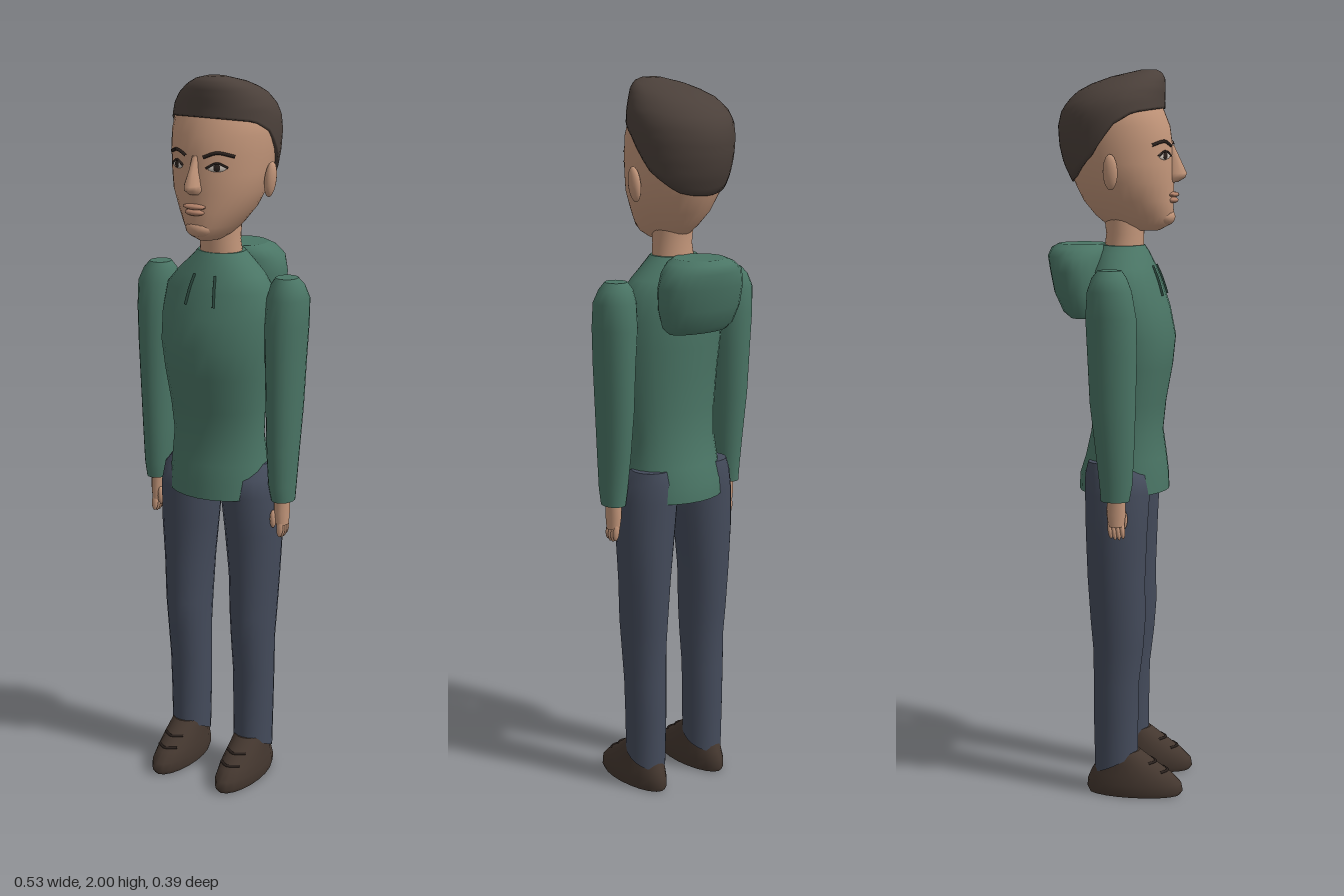
import * as THREE from 'three';

const mat = (name, color, side = THREE.FrontSide) => {
  const m = new THREE.MeshStandardMaterial({ color, side });
  m.name = name;
  return m;
};

// Closed skin over rings of points, listed from bottom to top
function skin(rings) {
  const n = rings[0].length, pos = [], idx = [];
  rings.forEach(r => r.forEach(p => pos.push(p.x, p.y, p.z)));
  for (let i = 0; i < rings.length - 1; i++) {
    for (let j = 0; j < n; j++) {
      const k = (j + 1) % n, a = i * n + j, b = i * n + k;
      idx.push(a, b, b + n, a, b + n, a + n);
    }
  }
  // Flat end caps with their own vertices
  for (const [ring, top] of [[rings[0], false], [rings[rings.length - 1], true]]) {
    const base = pos.length / 3, c = new THREE.Vector3();
    ring.forEach(p => { c.add(p); pos.push(p.x, p.y, p.z); });
    c.divideScalar(n);
    pos.push(c.x, c.y, c.z);
    for (let j = 0; j < n; j++) {
      const k = (j + 1) % n;
      idx.push(base + n, base + (top ? j : k), base + (top ? k : j));
    }
  }
  const g = new THREE.BufferGeometry();
  g.setAttribute('position', new THREE.Float32BufferAttribute(pos, 3));
  g.setIndex(idx);
  g.computeVertexNormals();
  return g;
}

// Point on an oval: centre x, half width, front z, back z, tilt of the front
function oval([y, cx, rx, zf, zb, tilt = 0], a) {
  const c = Math.cos(a);
  return new THREE.Vector3(cx + rx * Math.sin(a), y + tilt * c, (zf + zb) / 2 + (zf - zb) / 2 * c);
}
const angles = n => Array.from({ length: n }, (_, j) => j / n * Math.PI * 2);
const loft = (sections, n = 24) => skin(sections.map(s => angles(n).map(a => oval(s, a))));

// Linear lookup in rows sorted by their first entry
function lookup(rows, v) {
  let i = 0;
  while (i < rows.length - 2 && v > rows[i + 1][0]) i++;
  const t = THREE.MathUtils.clamp((v - rows[i][0]) / (rows[i + 1][0] - rows[i][0]), 0, 1);
  return rows[i].map((e, k) => e + (rows[i + 1][k] - e) * t);
}

export function createModel() {
  const model = new THREE.Group();
  const green = mat('green knit', 0x4a7565), navy = mat('navy cloth', 0x444b5b);
  const skinTone = mat('skin', 0xc3967a), hairBrown = mat('hair brown', 0x4b403a, THREE.DoubleSide);
  const leather = mat('brown leather', 0x44372f), dark = mat('dark brown', 0x2a211d);
  const white = mat('eye white', 0xd2c8be), cord = mat('dark green', 0x2b473d), lip = mat('lips', 0xb08068);

  const add = (name, geo, material, parent = model) => {
    const m = new THREE.Mesh(geo, material);
    m.name = name;
    parent.add(m);
    return m;
  };
  const ball = (name, material, p, r, parent) => {
    const m = add(name, new THREE.SphereGeometry(1, 16, 10), material, parent);
    m.position.set(...p);
    m.scale.set(...r);
    return m;
  };
  const cordTube = (name, pts, r, material, parent) => add(name, new THREE.TubeGeometry(
    new THREE.CatmullRomCurve3(pts.map(p => new THREE.Vector3(...p))), 10, r, 6), material, parent);

  // Sweater body and hood hanging at the back
  add('torso', loft([
    [0.855, 0, 0.150, 0.140, -0.110], [0.90, 0, 0.147, 0.138, -0.108], [0.95, 0, 0.140, 0.132, -0.092],
    [1.02, 0, 0.134, 0.122, -0.076], [1.10, 0, 0.140, 0.130, -0.072], [1.20, 0, 0.153, 0.148, -0.076],
    [1.28, 0, 0.163, 0.156, -0.083], [1.36, 0, 0.167, 0.140, -0.087], [1.43, 0, 0.160, 0.117, -0.085],
    [1.47, 0, 0.128, 0.102, -0.080], [1.51, 0, 0.085, 0.083, -0.065], [1.53, 0, 0.067, 0.070, -0.050]]), green);
  add('hood', loft([
    [1.333, 0, 0.095, -0.05, -0.135], [1.35, 0, 0.113, -0.03, -0.155], [1.40, 0, 0.128, -0.02, -0.178],
    [1.46, 0, 0.132, -0.02, -0.190], [1.50, 0, 0.120, -0.02, -0.197], [1.522, 0, 0.095, -0.02, -0.188],
    [1.533, 0, 0.070, -0.03, -0.168]]), green);

  // Head and neck
  add('neck', loft([[1.49, 0, 0.064, 0.066, -0.045], [1.56, 0, 0.056, 0.068, -0.036], [1.64, 0, 0.058, 0.07, -0.045]]), skinTone);
  add('head', loft([
    [1.570, 0, 0.028, 0.110, -0.005], [1.585, 0, 0.050, 0.138, -0.035], [1.61, 0, 0.070, 0.150, -0.065],
    [1.65, 0, 0.098, 0.148, -0.098], [1.70, 0, 0.122, 0.150, -0.122], [1.75, 0, 0.132, 0.148, -0.142],
    [1.80, 0, 0.138, 0.145, -0.155], [1.85, 0, 0.141, 0.138, -0.158], [1.90, 0, 0.136, 0.118, -0.146],
    [1.935, 0, 0.100, 0.100, -0.100], [1.955, 0, 0.050, 0.060, -0.040]], 32), skinTone);
  add('nose', loft([
    [1.70, 0, 0.016, 0.160, 0.12], [1.712, 0, 0.024, 0.180, 0.12], [1.724, 0, 0.021, 0.185, 0.12],
    [1.76, 0, 0.013, 0.168, 0.12], [1.80, 0, 0.010, 0.149, 0.12]], 12), skinTone);
  ball('upperLip', lip, [0, 1.667, 0.146], [0.034, 0.008, 0.018]);
  ball('lowerLip', lip, [0, 1.652, 0.145], [0.029, 0.009, 0.017]);
  ball('chin', skinTone, [0, 1.607, 0.125], [0.038, 0.025, 0.029]);

  // Hair: rows run from a hairline that drops towards the nape up to the crown
  const crown = [
    [1.70, 0, 0.127, 0.125, -0.128], [1.75, 0, 0.139, 0.135, -0.152], [1.80, 0, 0.145, 0.135, -0.164],
    [1.85, 0, 0.148, 0.134, -0.167], [1.89, 0, 0.146, 0.124, -0.158], [1.92, 0.002, 0.138, 0.123, -0.138],
    [1.95, 0.006, 0.118, 0.124, -0.105], [1.975, 0.014, 0.090, 0.122, -0.050], [1.992, 0.02, 0.058, 0.114, 0.015],
    [2.00, 0.024, 0.028, 0.098, 0.055]];
  const hairline = [[-1, 1.70], [-0.8, 1.712], [-0.3, 1.77], [0.15, 1.855], [0.5, 1.885], [1, 1.897]];
  const hairRows = [];
  for (let i = 0; i <= 16; i++) {
    hairRows.push(angles(40).map(a => {
      const y0 = lookup(hairline, Math.cos(a))[1];
      return oval(lookup(crown, y0 + (2 - y0) * i / 16), a);
    }));
  }
  // Leave the underside to the head by closing it just inside the skull
  hairRows.unshift(hairRows[0].map(p => new THREE.Vector3(p.x * 0.9, p.y + 0.01, p.z * 0.9)));
  add('hair', skin(hairRows), hairBrown);

  const faceZ = x => 0.147 * Math.sqrt(1 - (x / 0.135) ** 2);
  for (const s of [1, -1]) {
    const side = new THREE.Group();
    side.name = s > 0 ? 'leftSide' : 'rightSide';
    model.add(side);

    // Eye, brow and ear
    const eye = new THREE.Group();
    eye.name = 'eye';
    eye.position.set(s * 0.06, 1.772, faceZ(0.06));
    eye.rotation.y = s * 0.5;
    side.add(eye);
    ball('eyeWhite', white, [0, 0, 0], [0.026, 0.011, 0.004], eye);
    ball('iris', dark, [0, 0, 0.002], [0.010, 0.010, 0.004], eye);
    cordTube('upperLid', [[-0.029, -0.002, 0], [0, 0.012, 0.003], [0.029, 0, 0]], 0.003, dark, eye);
    cordTube('brow', [[0.026, 1.798], [0.06, 1.810], [0.097, 1.800]]
      .map(([x, y]) => [s * x, y, faceZ(x)]), 0.0045, dark, side);
    ball('ear', skinTone, [s * 0.143, 1.73, -0.002], [0.015, 0.048, 0.02], side).rotation.z = -s * 0.12;

    // Sleeve
    add('sleeve', loft([
      [0.855, s * 0.205, 0.031, 0.060, -0.018], [0.90, s * 0.203, 0.037, 0.068, -0.022],
      [1.00, s * 0.202, 0.043, 0.073, -0.034], [1.12, s * 0.203, 0.048, 0.077, -0.048],
      [1.25, s * 0.204, 0.053, 0.080, -0.054], [1.35, s * 0.204, 0.058, 0.078, -0.059],
      [1.42, s * 0.206, 0.058, 0.066, -0.054], [1.455, s * 0.203, 0.046, 0.052, -0.042],
      [1.475, s * 0.201, 0.030, 0.038, -0.026]], 20), green, side);

    // Hand with four fingers and a thumb
    add('palm', loft([
      [0.785, s * 0.204, 0.017, 0.046, 0.002], [0.82, s * 0.203, 0.020, 0.050, -0.003],
      [0.87, s * 0.203, 0.021, 0.048, 0.000]], 12), skinTone, side);
    for (let f = 0; f < 4; f++) {
      const finger = ball('finger', skinTone, [s * 0.206, 0.776 - (f === 1 || f === 2 ? 0.004 : 0), 0.041 - f * 0.011],
        [0.010, 0.025, 0.007], side);
      finger.rotation.x = -0.12;
    }
    ball('thumb', skinTone, [s * 0.185, 0.80, 0.042], [0.009, 0.026, 0.010], side);

    // Trouser leg, with the hem lifted over the instep
    add('trouserLeg', loft([
      [0.09, s * 0.105, 0.054, 0.070, -0.052, 0.03], [0.20, s * 0.105, 0.056, 0.070, -0.055],
      [0.32, s * 0.106, 0.058, 0.072, -0.055], [0.42, s * 0.106, 0.060, 0.084, -0.057],
      [0.50, s * 0.107, 0.064, 0.090, -0.064], [0.62, s * 0.107, 0.070, 0.089, -0.072],
      [0.75, s * 0.104, 0.081, 0.094, -0.077], [0.86, s * 0.097, 0.086, 0.100, -0.080],
      [0.91, s * 0.094, 0.080, 0.092, -0.080], [0.945, s * 0.100, 0.055, 0.040, -0.070]], 20), navy, side);

    // Shoe with two laces
    add('shoe', loft([
      [0, s * 0.107, 0.050, 0.188, -0.068], [0.012, s * 0.107, 0.054, 0.197, -0.074],
      [0.035, s * 0.107, 0.055, 0.193, -0.073], [0.06, s * 0.106, 0.053, 0.167, -0.063],
      [0.09, s * 0.106, 0.049, 0.124, -0.046], [0.125, s * 0.105, 0.044, 0.075, -0.035]], 20), leather, side);
    for (const [y, z] of [[0.070, 0.153], [0.094, 0.119]]) {
      cordTube('lace', [[s * 0.106 - 0.03, y, z - 0.017], [s * 0.106, y, z], [s * 0.106 + 0.03, y, z - 0.017]], 0.004, dark, side);
    }

    // Drawstring
    cordTube('drawstring', [[s * 0.032, 1.475, 0.097], [s * 0.038, 1.44, 0.112], [s * 0.044, 1.395, 0.126]], 0.004, cord, side);
  }
  return model;
}
